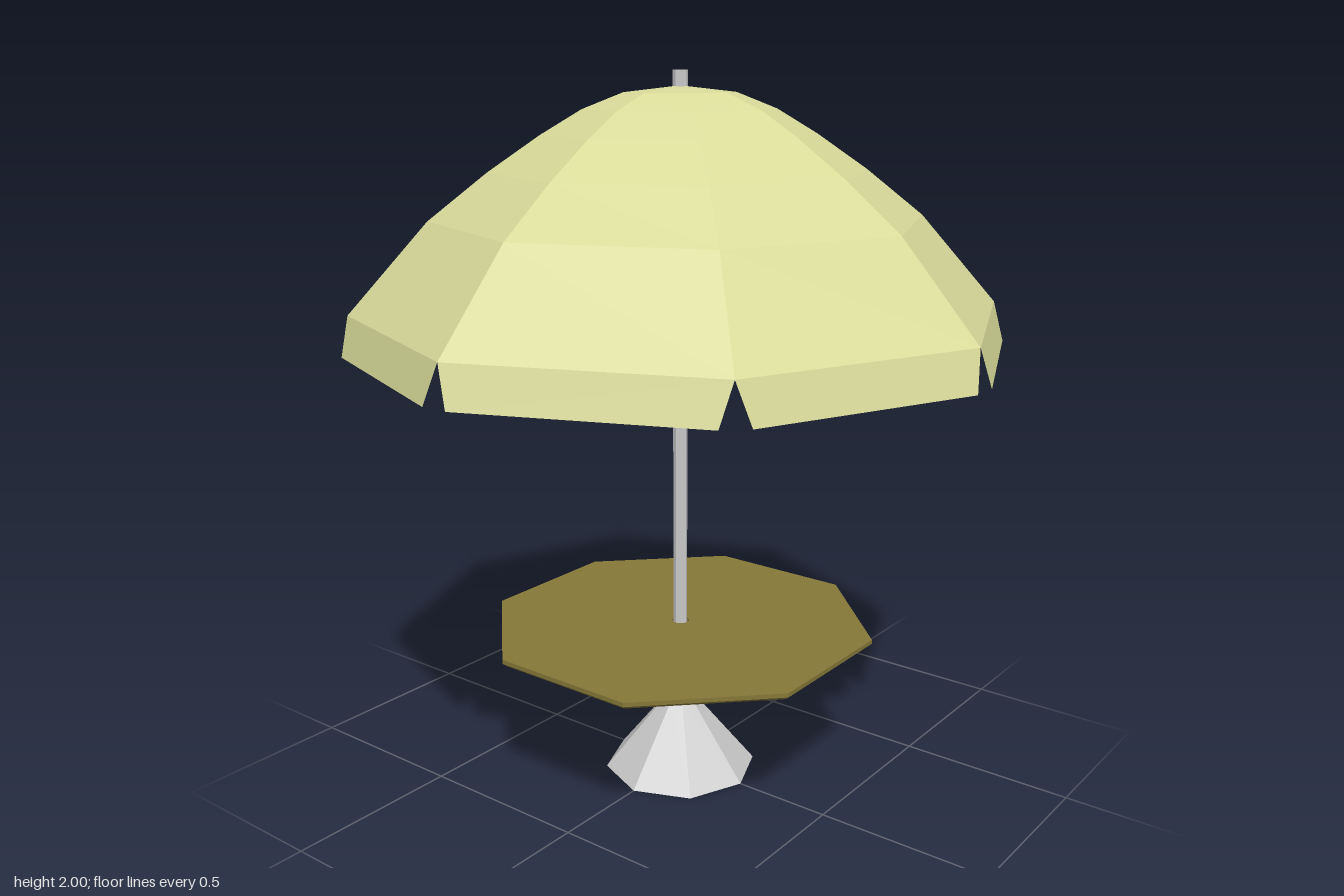
import * as THREE from 'three';

const SIDES = 8;

function material(color, side = THREE.FrontSide) {
  return new THREE.MeshStandardMaterial({ color, side, flatShading: true });
}

// Eight-sided solid of revolution from [radius, height] pairs
function turned(name, profile, mat) {
  const points = profile.map(([r, y]) => new THREE.Vector2(r, y));
  const mesh = new THREE.Mesh(new THREE.LatheGeometry(points, SIDES), mat);
  mesh.name = name;
  return mesh;
}

// Separate hanging flaps, one per canopy panel, narrowing to leave notches
function valanceGeometry(rimRadius, rimY, bottomApothem, bottomHalfWidth, bottomY) {
  const half = Math.PI / SIDES;
  const topApothem = rimRadius * Math.cos(half);
  const topHalfWidth = rimRadius * Math.sin(half);
  const positions = [];
  const indices = [];
  for (let i = 0; i < SIDES; i++) {
    const a = (2 * i + 1) * half;
    const corner = (apothem, along, y) => positions.push(
      apothem * Math.sin(a) + along * Math.cos(a), y,
      apothem * Math.cos(a) - along * Math.sin(a));
    corner(bottomApothem, -bottomHalfWidth, bottomY);
    corner(bottomApothem, bottomHalfWidth, bottomY);
    corner(topApothem, topHalfWidth, rimY);
    corner(topApothem, -topHalfWidth, rimY);
    const n = i * 4;
    indices.push(n, n + 1, n + 2, n, n + 2, n + 3);
  }
  const geometry = new THREE.BufferGeometry();
  geometry.setAttribute('position', new THREE.Float32BufferAttribute(positions, 3));
  geometry.setIndex(indices);
  geometry.computeVertexNormals();
  return geometry;
}

export function createModel() {
  const model = new THREE.Group();
  model.name = 'parasolTable';

  const grey = material(0xcccccc);
  const wood = material(0x857838);
  const fabric = material(0xd9db9a, THREE.DoubleSide);

  // Hourglass foot
  model.add(turned('base', [
    [0, 0], [0.22, 0], [0.04, 0.22], [0.145, 0.436], [0, 0.436],
  ], grey));

  // Pole from the foot's waist to the tip
  const pole = new THREE.Mesh(new THREE.CylinderGeometry(0.02, 0.02, 1.78, SIDES), grey);
  pole.name = 'pole';
  pole.position.y = 1.11;
  model.add(pole);

  // Octagonal table top with a bevelled underside and a hole for the pole
  const tableTop = turned('tableTop', [
    [0.026, 0.434], [0.546, 0.434], [0.557, 0.443], [0.557, 0.455],
    [0.026, 0.455], [0.026, 0.434],
  ], wood);
  tableTop.rotation.y = Math.PI / SIDES;
  model.add(tableTop);

  // Canopy with its notched valance
  const parasol = new THREE.Group();
  parasol.name = 'parasol';
  parasol.add(turned('canopy', [
    [0.89, 1.37], [0.67, 1.615], [0.51, 1.74], [0.37, 1.835],
    [0.26, 1.9], [0.15, 1.943], [0, 1.96],
  ], fabric));
  const valance = new THREE.Mesh(valanceGeometry(0.89, 1.37, 0.853, 0.313, 1.265), fabric);
  valance.name = 'valance';
  parasol.add(valance);
  model.add(parasol);

  return model;
}
